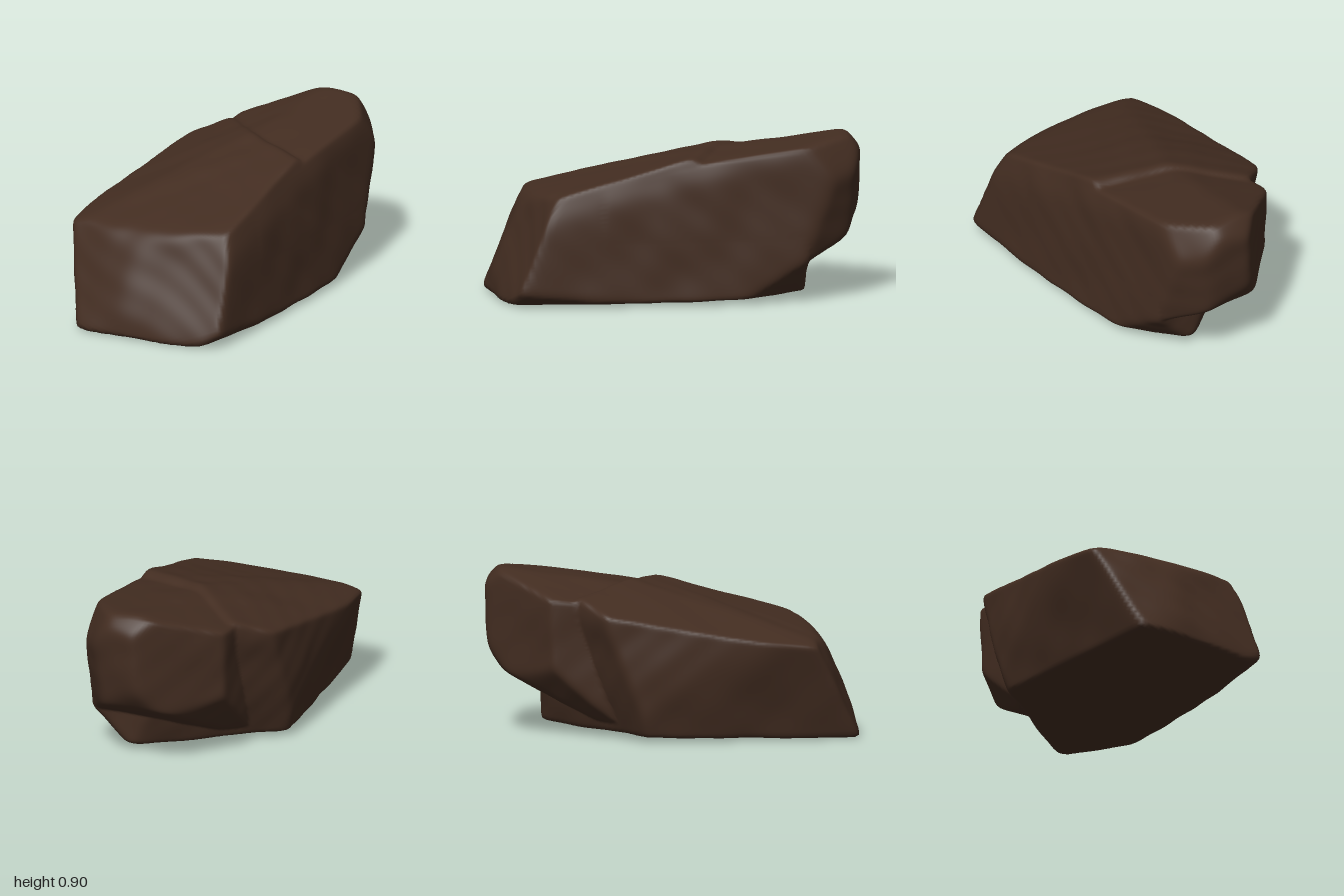
import * as THREE from 'three';
import { mergeVertices } from 'three/addons/utils/BufferGeometryUtils.js';

// Point inside the boulder from which the surface is measured
const CENTRE = new THREE.Vector3(0.05, 0.42, -0.05);

// A cleaved face: a point on it and its outward normal
const face = (px, py, pz, nx, ny, nz) => {
  const n = new THREE.Vector3(nx, ny, nz).normalize();
  return { n, d: n.dot(new THREE.Vector3(px, py, pz).sub(CENTRE)) };
};

// Long sloping main slab
const slab = [
  face(0, 0.003, 0.9, 0, -1, -0.02),             // underside
  face(0.515, 0.3, 0, 1, 0.06, 0),               // flank (+x)
  face(0.49, 0.03, 0.7, 0.6, -1, 0.1),           // worn lower edge of that flank
  face(0.46, 0.65, 0.5, 1, 0.35, 0.08),          // worn upper edge of that flank
  face(0.46, 0.12, -0.6, 0.6, -0.6, -0.4),       // worn lower back corner
  face(-0.48, 0.6, -0.1, -1, 0, -0.1),           // flank (-x)
  face(-0.54, 0.54, 0.38, -1, -0.28, 0.08),      // flank leaning in at the foot
  face(0.2, 0.692, 0.355, -0.03, 1, 0.275),      // top
  face(-0.46, 0.645, 0, -0.33, 1, 0.13),         // top bevel (-x)
  face(0, 0.855, -0.24, 0.3, 1, -0.5),           // step down behind the top ridge
  face(-0.05, 0.1, 1.01, 0.2, 0.41, 1),          // front
  face(-0.1, 0.1, 1.01, -0.18, 0.41, 1),         // front, turned to -x
  face(-0.05, 0.05, 1.01, 0.1, 0, 1),            // front foot
  face(0, 0.555, 0.79, 0, 1, 0.75),              // bevel above the front
  face(0, 0.1, -0.7, 0, 0, -1),                  // low back ledge
  face(-0.16, 0.03, -0.38, -0.6, -0.31, -0.8),   // undercut back corner
  face(-0.32, 0.5, -0.52, -0.75, 0.1, -1),       // back corner notch
];

// Narrower block overhanging at the back
const block = [
  face(0, 0.08, 0, 0, -1, 0),
  face(-0.27, 0.6, -0.5, -1, 0, 0),
  face(-0.25, 0.3, -0.6, -0.6, -0.6, -0.5),      // worn lower corner
  face(0.51, 0.4, 0, 1, 0.04, 0),
  face(0.46, 0.65, 0.5, 1, 0.35, 0.08),          // worn upper edge
  face(0.2, 0.825, -0.35, 0.04, 1, 0.14),        // top
  face(0.1, 0.895, -0.85, -0.3, 1, 0.1),         // top bevel
  face(0.3, 0.805, -0.1, -0.06, 1, 0.27),        // dips under the slab
  face(0, 0.3, 0.45, 0, 0, 1),
  face(-0.1, 0.6, -0.82, -0.85, 0, -1),          // angled back corners
  face(0.5, 0.6, -0.81, 0.8, -0.2, -0.6),
  face(0.435, 0.77, -0.855, 0.7, 0.4, -0.4),     // worn upper back corner
  face(0.2, 0.72, -1.01, 0.22, -0.08, -1),       // back
  face(0.2, 0.865, -0.965, 0, 1, -1),
  face(0, 0.285, -0.82, 0, -1, -0.5),            // overhang
  face(0.2, 0.41, -0.97, 0, -0.6, -1),
];

// Distance along a ray to a solid cut by faces, with slightly rounded edges
function reach(dir, faces, p = 50) {
  let sum = 0;
  for (const { n, d } of faces) {
    const k = n.dot(dir) / d;
    if (k > 0) sum += Math.pow(k, p);
  }
  return Math.pow(sum, -1 / p);
}

// Gentle weathering
function weather(x, y, z) {
  return 0.005 * Math.sin(7 * x + 4 * y + 5 * z + 1) * Math.sin(9 * y - 6 * z)
    + 0.004 * Math.sin(11 * z + 5 * x + 2 * Math.sin(4 * y)) * Math.sin(12 * x - 10 * y + 2)
    + 0.002 * Math.sin(23 * z - 12 * y + 2 * Math.sin(6 * x)) * Math.sin(20 * x + 19 * y);
}

export function createModel() {
  const group = new THREE.Group();
  group.name = 'boulder';
  const rockBrown = new THREE.MeshStandardMaterial({ color: 0x432d21 });
  rockBrown.name = 'rockBrown';

  let geo = new THREE.IcosahedronGeometry(1, 48);
  geo.deleteAttribute('normal');
  geo.deleteAttribute('uv');
  geo = mergeVertices(geo, 1e-5);

  // Push each vertex out to the union of both solids
  const pos = geo.attributes.position;
  const spread = new THREE.Vector3(0.55, 0.48, 1);
  const v = new THREE.Vector3();
  for (let i = 0; i < pos.count; i++) {
    v.fromBufferAttribute(pos, i).multiply(spread).normalize();
    const r = Math.max(reach(v, slab), reach(v, block));
    const p = v.clone().multiplyScalar(r).add(CENTRE);
    p.addScaledVector(v, weather(p.x, p.y, p.z));
    pos.setXYZ(i, p.x, p.y, p.z);
  }
  geo.computeVertexNormals();

  const rock = new THREE.Mesh(geo, rockBrown);
  rock.name = 'rock';
  group.add(rock);
  return group;
}
